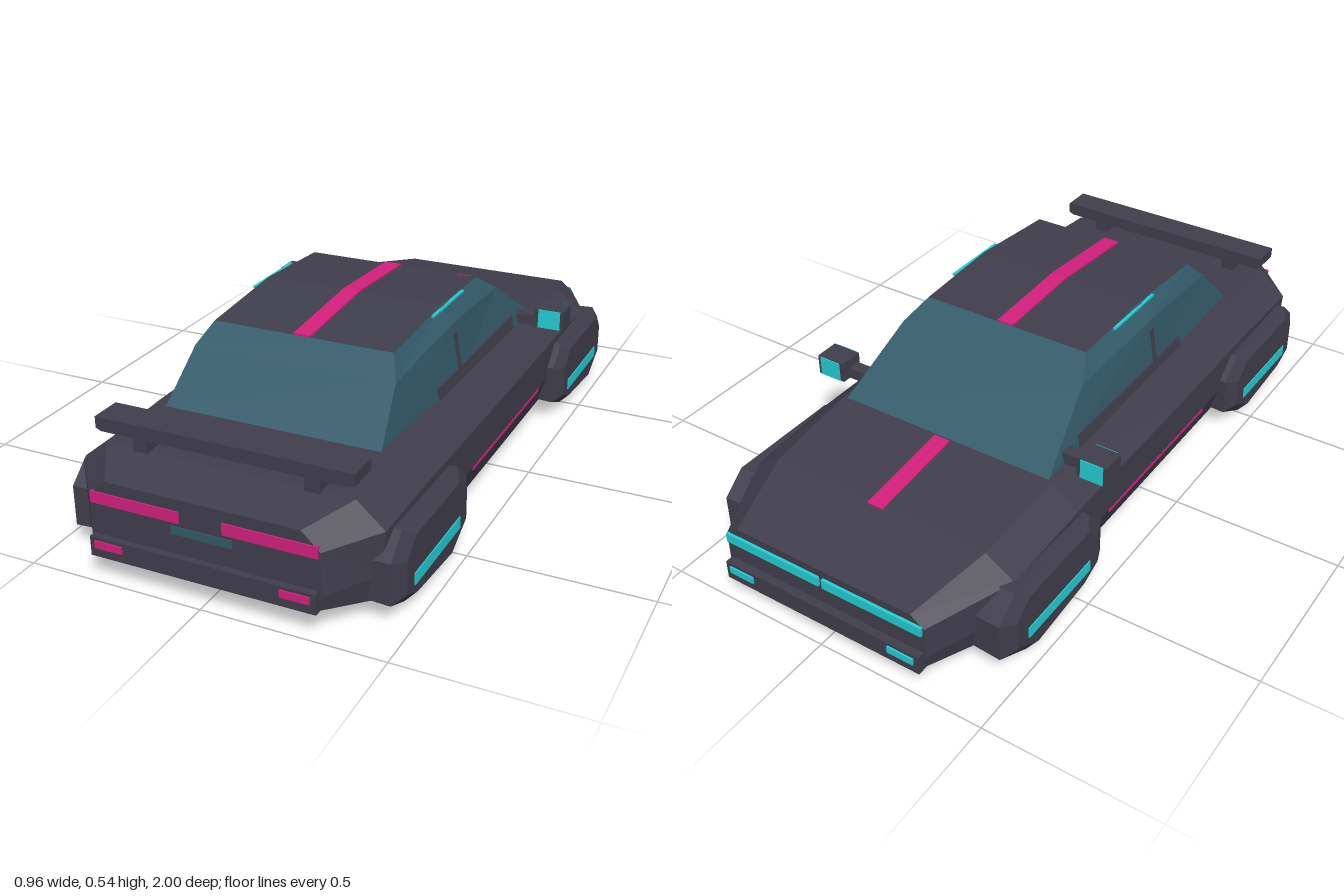
import * as THREE from 'three';

const mat = (name, color) => {
  const m = new THREE.MeshStandardMaterial({ color, flatShading: true });
  m.name = name;
  return m;
};

// Flat-faced geometry from convex polygons, corners counterclockwise from outside
function polygons(list) {
  const pos = [];
  for (const p of list) {
    for (let i = 1; i < p.length - 1; i++) pos.push(...p[0], ...p[i], ...p[i + 1]);
  }
  const g = new THREE.BufferGeometry();
  g.setAttribute('position', new THREE.Float32BufferAttribute(pos, 3));
  g.computeVertexNormals();
  return g;
}

// Closed solid through a row of matching cross-sections
function loft(rings) {
  const faces = [];
  const n = rings[0].length;
  for (let i = 0; i < rings.length - 1; i++) {
    for (let j = 0; j < n; j++) {
      const k = (j + 1) % n;
      faces.push([rings[i][j], rings[i][k], rings[i + 1][k], rings[i + 1][j]]);
    }
  }
  faces.push(rings[rings.length - 1], [...rings[0]].reverse());
  return polygons(faces);
}

export function createModel() {
  const body = mat('charcoal body', 0x403e4c);
  const glass = mat('teal glass', 0x325a69);
  const cyan = mat('cyan light', 0x22d0d6);
  const pink = mat('magenta light', 0xd4207c);
  const car = new THREE.Group();
  car.name = 'hoverCar';

  const add = (name, geo, material) => {
    const m = new THREE.Mesh(geo, material);
    m.name = name;
    car.add(m);
    return m;
  };
  const box = (name, material, w, h, d, x, y, z) => {
    const m = add(name, new THREE.BoxGeometry(w, h, d), material);
    m.position.set(x, y, z);
    return m;
  };
  // Thin plate along the centre line between two [z, y] points
  const stripe = (name, [z1, y1], [z2, y2]) => {
    const m = box(name, pink, 0.05, 0.008, Math.hypot(z2 - z1, y2 - y1), 0, (y1 + y2) / 2, (z1 + z2) / 2);
    m.rotation.x = -Math.atan2(y2 - y1, z2 - z1);
  };

  // Body shell: z, then half-section points [x, y] from floor to deck
  const stations = [
    [-0.972, [0.31, 0.07], [0.32, 0.11], [0.32, 0.205], [0.28, 0.235]],
    [-0.74, [0.4, 0.05], [0.42, 0.13], [0.425, 0.23], [0.34, 0.285]],
    [-0.45, [0.4, 0.05], [0.43, 0.14], [0.43, 0.25], [0.35, 0.315]],
    [0.14, [0.4, 0.05], [0.43, 0.14], [0.43, 0.25], [0.35, 0.326]],
    [0.6, [0.4, 0.05], [0.43, 0.14], [0.43, 0.255], [0.35, 0.325]],
    [0.85, [0.4, 0.05], [0.42, 0.13], [0.427, 0.245], [0.35, 0.313]],
    [0.976, [0.31, 0.07], [0.32, 0.11], [0.32, 0.23], [0.27, 0.278]],
  ];
  add('bodyShell', loft(stations.map(([z, ...half]) => [
    ...half.map(([x, y]) => [x, y, z]),
    ...[...half].reverse().map(([x, y]) => [-x, y, z]),
  ])), body);

  // Cabin: base, waist and roof lines on the +x side, each from tail to nose
  const lines = [
    [[0.315, 0.318, 0.635], [0.335, 0.32, 0.14], [0.34, 0.308, -0.457]],
    [[0.295, 0.455, 0.5], [0.308, 0.488, 0.14], [0.3, 0.468, -0.222]],
    [[0.265, 0.51, 0.445], [0.268, 0.533, 0.14], [0.265, 0.52, -0.145]],
  ];
  const flip = ([x, y, z]) => [-x, y, z];
  const panes = [], roof = [];
  for (let r = 0; r < 2; r++) {
    const lo = lines[r], hi = lines[r + 1];
    for (let c = 0; c < 2; c++) {
      const q = [lo[c], lo[c + 1], hi[c + 1], hi[c]];
      panes.push(q, q.map(flip).reverse());
    }
    panes.push([flip(lo[0]), lo[0], hi[0], flip(hi[0])]);
    panes.push([lo[2], flip(lo[2]), flip(hi[2]), hi[2]]);
  }
  for (let c = 0; c < 2; c++) {
    const a = lines[2][c], b = lines[2][c + 1];
    roof.push([a, b, flip(b), flip(a)]);
  }
  add('windows', polygons(panes), glass);
  add('roof', polygons(roof), body);

  // Centre stripes on roof and bonnet
  stripe('roofStripeRear', [0.445, 0.511], [0.14, 0.534]);
  stripe('roofStripeFront', [0.14, 0.534], [-0.145, 0.521]);
  stripe('bonnetStripe', [-0.75, 0.284], [-0.455, 0.3155]);

  // Bumpers, each with a light bar above and corner lamps
  for (const end of [1, -1]) {
    const lamp = end > 0 ? pink : cyan;
    box(end > 0 ? 'tailBumper' : 'noseBumper', body, 0.63, 0.055, 0.05, 0, 0.098, end * 0.97);
    for (const s of [1, -1]) {
      const inner = end > 0 ? 0.06 : 0.006;
      box('lightBar', lamp, 0.315 - inner, end > 0 ? 0.032 : 0.028, 0.009,
        s * (0.315 + inner) / 2, end > 0 ? 0.23 : 0.198, end * 0.976);
      box('cornerLamp', lamp, 0.08, 0.02, 0.009, s * 0.26, 0.107, end * 0.9955);
    }
  }
  box('rearPanel', glass, 0.17, 0.022, 0.006, 0, 0.192, 0.976);

  // Rear wing with tapered ends
  const wing = new THREE.Shape();
  wing.moveTo(-0.345, 0.355).lineTo(0.345, 0.355).lineTo(0.36, 0.362);
  wing.lineTo(0.36, 0.393).lineTo(-0.36, 0.393).lineTo(-0.36, 0.362);
  add('rearWing', new THREE.ExtrudeGeometry(wing, { depth: 0.09, bevelEnabled: false }), body).position.z = 0.785;

  // Hover pod profile: [distance towards the nose, y]
  const profile = [[-0.245, 0.06], [-0.16, 0.024], [0.12, 0], [0.24, 0.065],
    [0.24, 0.175], [0.17, 0.233], [-0.18, 0.233], [-0.245, 0.175]];
  const podSections = [[0.33, 0.97], [0.45, 1], [0.472, 0.8]];

  for (const s of [1, -1]) {
    box('wingPost', body, 0.042, 0.06, 0.06, s * 0.24, 0.33, 0.83);

    // Mirror with a bright panel on both faces
    box('mirrorArm', body, 0.075, 0.032, 0.04, s * 0.365, 0.336, -0.35);
    box('mirrorHousing', body, 0.09, 0.06, 0.074, s * 0.437, 0.35, -0.36);
    box('mirrorPanel', cyan, 0.068, 0.058, 0.08, s * 0.438, 0.35, -0.36);

    // Side trim
    box('sillLight', pink, 0.008, 0.008, 0.56, s * 0.427, 0.133, 0);
    box('windowSill', body, 0.012, 0.045, 0.58, s * 0.329, 0.335, 0).rotation.z = s * 0.16;
    box('doorPillar', body, 0.008, 0.11, 0.018, s * 0.32, 0.405, 0.14).rotation.z = s * 0.16;
    box('roofEdgeLight', cyan, 0.008, 0.006, 0.22, s * 0.274, 0.525, 0.1);

    for (const [place, zc] of [['rear', 0.63], ['front', -0.605]]) {
      const rings = podSections.map(([x, k]) =>
        profile.map(([u, y]) => [s * x, 0.105 + (y - 0.105) * k, zc - u * k]));
      if (s < 0) rings.reverse();
      add(place + 'HoverPod', loft(rings), body);
      box(place + 'PodSideLight', cyan, 0.008, 0.034, 0.295, s * 0.471, 0.088, zc + 0.005);
      box(place + 'PodUnderLight', cyan, 0.105, 0.008, 0.2, s * 0.396, 0.0125, zc + 0.02).rotation.x = -0.085;
    }
  }
  return car;
}
